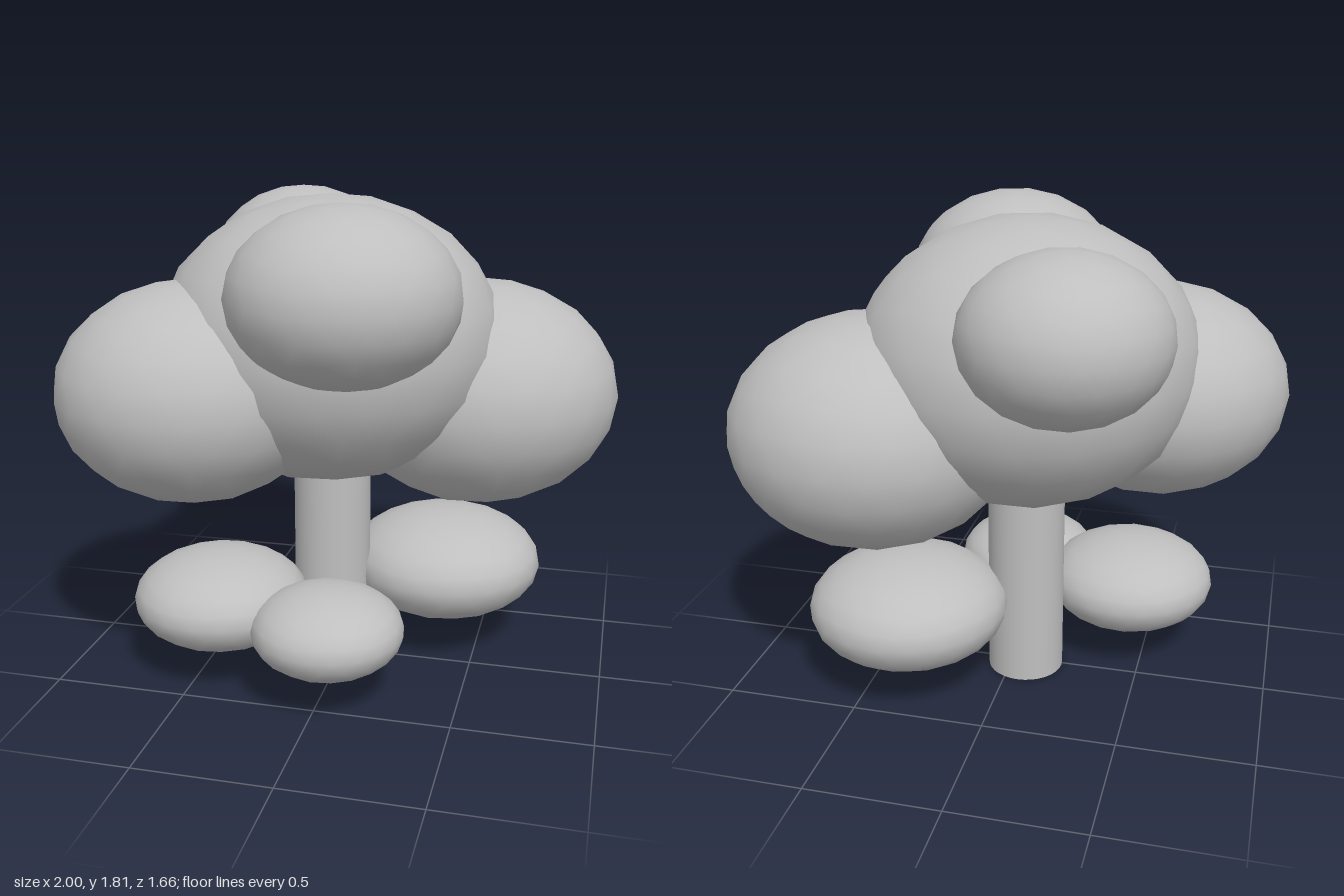
import * as THREE from 'three';

export function createModel() {
  const model = new THREE.Group();
  model.name = 'tree';
  const clay = new THREE.MeshStandardMaterial({ color: 0xbfbfbf });
  clay.name = 'plain grey';

  function add(name, geometry, [x, y, z]) {
    const mesh = new THREE.Mesh(geometry, clay);
    mesh.name = name;
    mesh.position.set(x, y, z);
    model.add(mesh);
  }

  // Smooth icosphere with a vertex at each pole, stretched to the radii
  function blob(name, centre, [rx, ry, rz]) {
    const geometry = new THREE.IcosahedronGeometry(1, 3);
    geometry.rotateZ(Math.atan2(2, 1 + Math.sqrt(5)));
    geometry.scale(rx, ry, rz);
    add(name, geometry, centre);
  }

  // Trunk, running up into the crown
  add('trunk', new THREE.CylinderGeometry(0.147, 0.147, 1, 32), [-0.055, 0.5, -0.015]);

  // Crown
  blob('mainFoliage', [-0.06, 1.275, -0.01], [0.637, 0.525, 0.652]);
  blob('leftFoliage', [0.463, 1.045, -0.243], [0.535, 0.427, 0.532]);
  blob('rightFoliage', [-0.5, 1.115, 0.273], [0.5, 0.4, 0.5]);
  blob('frontTopFoliage', [0.095, 1.505, 0.43], [0.4, 0.31, 0.4]);
  blob('backTopFoliage', [-0.285, 1.495, -0.473], [0.362, 0.29, 0.36]);

  // Low clusters around the trunk
  blob('leftLowCluster', [0.355, 0.335, -0.24], [0.38, 0.21, 0.38]);
  blob('rightLowCluster', [-0.43, 0.3, 0.24], [0.33, 0.18, 0.33]);
  blob('frontLowCluster', [0.03, 0.285, 0.405], [0.28, 0.16, 0.28]);

  return model;
}
